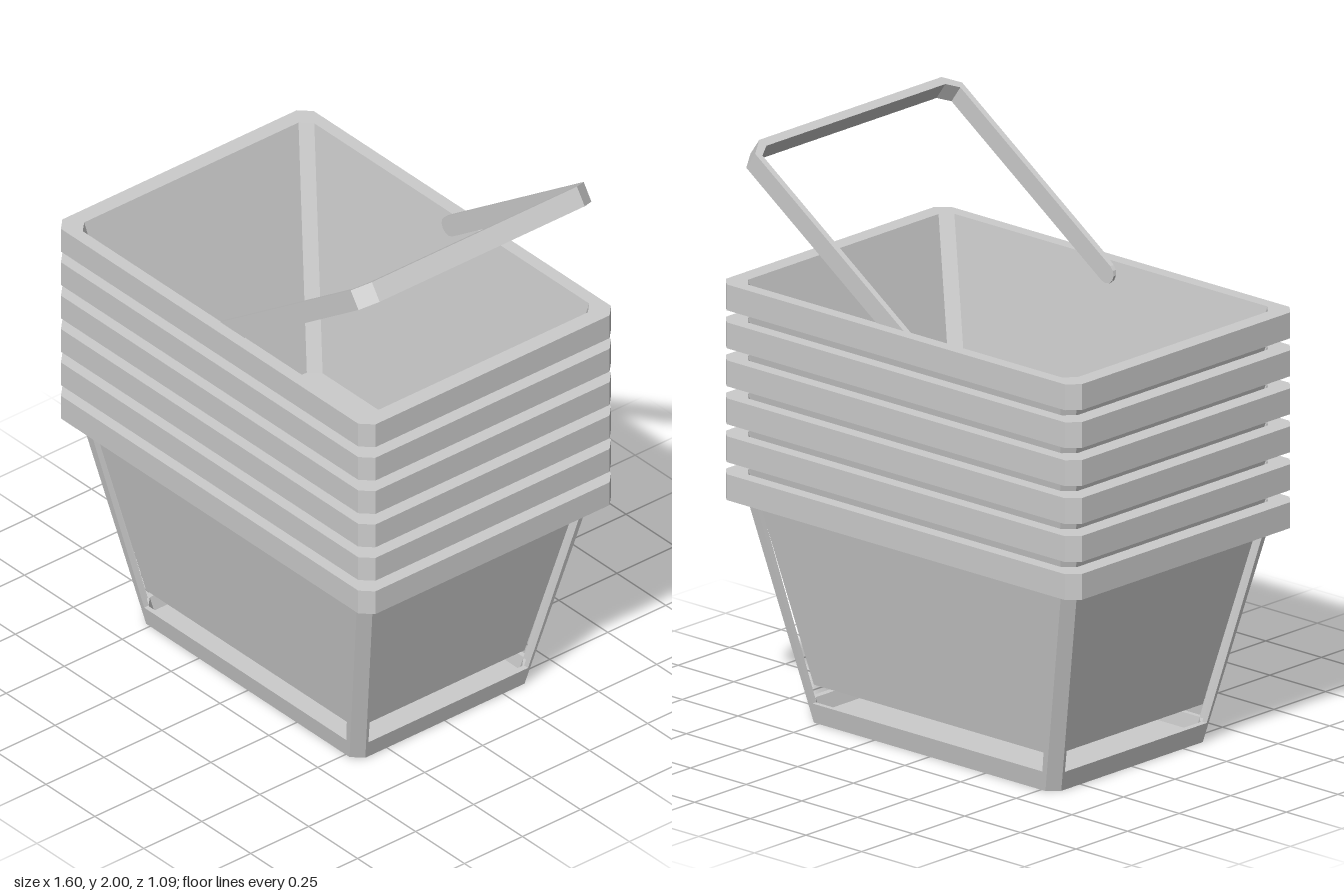
import * as THREE from 'three';

const mat = new THREE.MeshStandardMaterial({ color: 0xcccccc, flatShading: true, side: THREE.DoubleSide });

const COUNT = 6, STEP = 0.132;              // stacked baskets and their vertical spacing
const RIM_Y = 0.76, TOP_Y = 0.85, T = 0.022; // rim underside, rim top, wall thickness
const halfX = (y) => 0.557 + 0.241 * y;     // tapered outer half sizes
const halfZ = (y) => 0.38 + 0.16 * y;

// Rectangle with chamfered corners as a ring of points
function ring(hx, hz, y, c = 0.037) {
  return [[hx, hz - c], [hx, c - hz], [hx - c, -hz], [c - hx, -hz],
    [-hx, c - hz], [-hx, hz - c], [c - hx, hz], [hx - c, hz]].map(([x, z]) => [x, y, z]);
}
const outer = (y) => ring(halfX(y), halfZ(y), y);
const inner = (y) => ring(halfX(y) - T, halfZ(y) - 0.017, y);
const centre = (y) => ring(0, 0, y, 0);

// Skin a series of closed rings
function loft(name, rings) {
  const pos = [];
  for (let i = 0; i < rings.length - 1; i++) {
    const lo = rings[i], hi = rings[i + 1], n = lo.length;
    for (let j = 0; j < n; j++) {
      const k = (j + 1) % n;
      pos.push(...lo[j], ...lo[k], ...hi[k], ...lo[j], ...hi[k], ...hi[j]);
    }
  }
  const g = new THREE.BufferGeometry();
  g.setAttribute('position', new THREE.Float32BufferAttribute(pos, 3));
  g.computeVertexNormals();
  const mesh = new THREE.Mesh(g, mat);
  mesh.name = name;
  return mesh;
}

// Chamfered band around the mouth of a basket
const rimRings = () => [ring(0.8, 0.545, RIM_Y, 0.04), ring(0.8, 0.545, TOP_Y, 0.04)];

// Basket with closed walls
function solidBasket() {
  return loft('basketShell', [centre(0), outer(0), outer(RIM_Y), ...rimRings(),
    inner(TOP_Y), inner(0.02), centre(0.02)]);
}

// L-shaped corner post section for one corner
function postSection(y, ax, az, sx, sz) {
  const hx = halfX(y), hz = halfZ(y), c = 0.037, t = 0.02;
  const pts = [[hx, hz - c], [hx, hz - c - az], [hx - t, hz - c - az], [hx - t, hz - c],
    [hx - c, hz - t], [hx - c - ax, hz - t], [hx - c - ax, hz], [hx - c, hz]]
    .map(([x, z]) => [x * sx, y, z * sz]);
  return sx * sz < 0 ? pts.reverse() : pts;
}

// Lowest basket: tray, corner posts and rim with open sides
function openBasket() {
  const g = new THREE.Group();
  g.add(loft('baseTray', [centre(0), outer(0), outer(0.07), inner(0.07), inner(0.02), centre(0.02)]));
  g.add(loft('rim', [inner(RIM_Y), ...rimRings(), inner(TOP_Y), inner(RIM_Y)]));
  for (const sx of [1, -1]) for (const sz of [1, -1]) {
    g.add(loft('cornerPost', [postSection(0.06, 0.02, 0.01, sx, sz),
      postSection(RIM_Y + 0.01, 0.035, 0.02, sx, sz)]));
  }
  return g;
}

// Swing handle: chamfered U-shaped band with rounded pivot ends
function carryHandle() {
  const g = new THREE.Group(), w = 0.07, L = 0.88, z = 0.502, t = 0.022;
  const half = [[0, z], [L - 0.045, z], [L, z - 0.06]];
  const halfIn = [[L - 0.03, z - 0.068], [L - 0.06, z - t], [0, z - t]];
  const flip = (list) => list.map(([x, y]) => [x, -y]).reverse();
  const outline = [...half, ...flip(half), ...flip(halfIn), ...halfIn];
  const shape = new THREE.Shape(outline.map(([x, y]) => new THREE.Vector2(x, y)));
  const geo = new THREE.ExtrudeGeometry(shape, { depth: w, bevelEnabled: false });
  geo.translate(0, 0, -w / 2).rotateX(Math.PI / 2);
  const band = new THREE.Mesh(geo, mat);
  band.name = 'handleBand';
  g.add(band);
  for (const s of [1, -1]) {
    const pivot = new THREE.Mesh(new THREE.CylinderGeometry(w / 2, w / 2, t, 12).rotateX(Math.PI / 2), mat);
    pivot.position.z = s * (z - t / 2);
    pivot.name = 'handlePivot';
    g.add(pivot);
  }
  g.position.set(0.005, 1.468, 0);
  g.rotation.z = THREE.MathUtils.degToRad(34.8);
  return g;
}

export function createModel() {
  const model = new THREE.Group();
  model.name = 'basketStack';
  for (let i = 0; i < COUNT; i++) {
    const basket = i === 0 ? openBasket() : solidBasket();
    basket.name = i === 0 ? 'bottomBasket' : 'stackedBasket';
    basket.position.y = i * STEP;
    model.add(basket);
  }
  const handle = carryHandle();
  handle.name = 'carryHandle';
  model.add(handle);
  return model;
}
